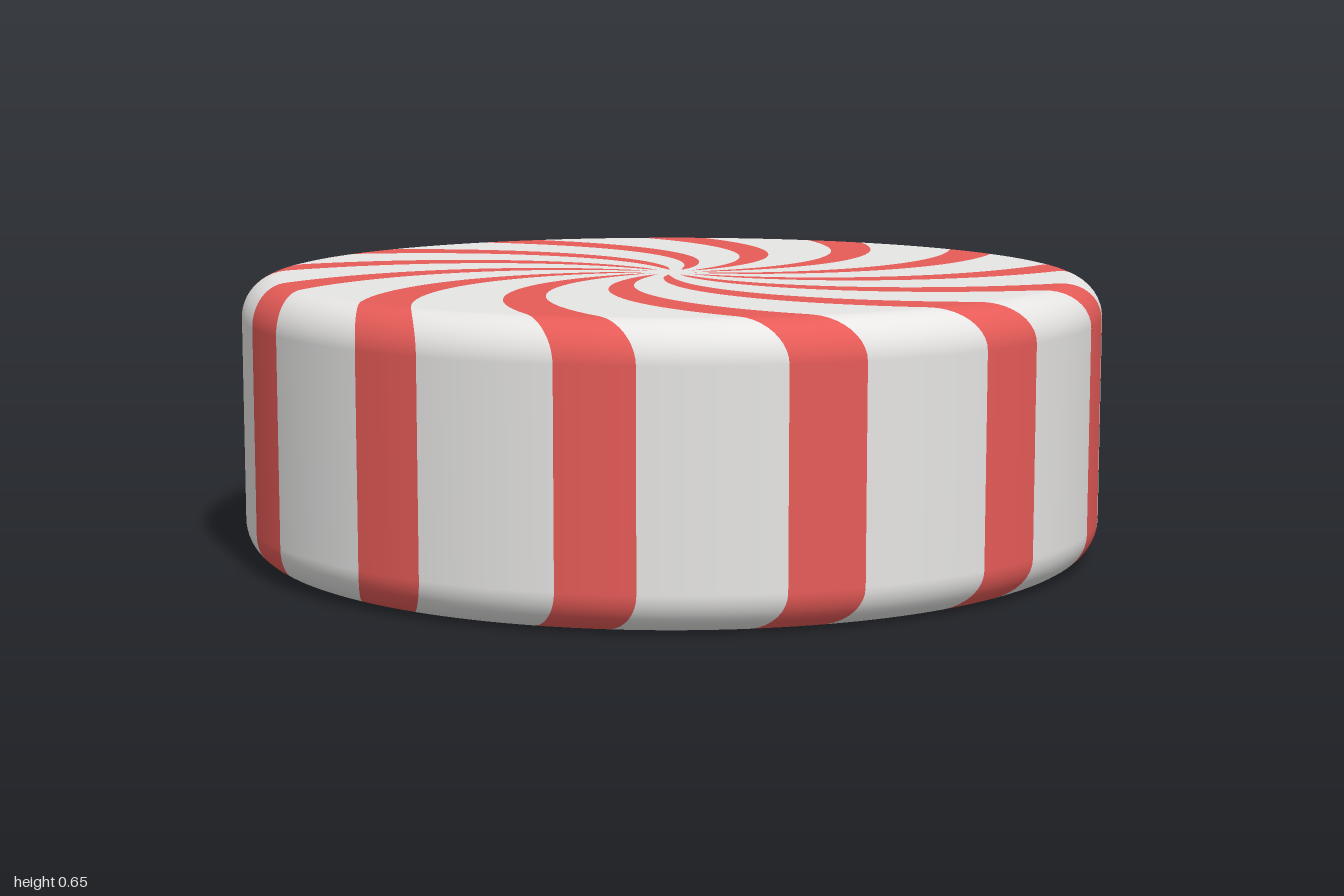
import * as THREE from 'three';

const COUNT = 13;                       // number of swirl stripes
const PITCH = (Math.PI * 2) / COUNT;
const HALF = THREE.MathUtils.degToRad(4.9);   // half stripe angle
const START = THREE.MathUtils.degToRad(84.5); // first stripe at the rim
const HEIGHT = 0.65, CORNER = 0.09, TWIST = 1;

// Profile from top centre, round the rim, to bottom centre: radius, height, normal
function makeProfile() {
  const top = [];
  const flat = 1 - CORNER, hub = 16;
  for (let i = 0; i <= hub; i++) top.push([0.16 * i / hub, HEIGHT, 0, 1]);
  for (let i = 1; i < 20; i++) top.push([0.16 + (flat - 0.16) * i / 20, HEIGHT, 0, 1]);
  for (let i = 0; i <= 10; i++) {
    const a = (i / 10) * Math.PI / 2, s = Math.sin(a), c = Math.cos(a);
    top.push([flat + CORNER * s, HEIGHT - CORNER + CORNER * c, s, c]);
  }
  const bottom = top.map(([r, y, nr, ny]) => [r, HEIGHT - y, nr, -ny]).reverse();
  return [...top, ...bottom];
}

// Stripes taper to nothing near the centre
const halfWidth = (r) => HALF * THREE.MathUtils.smoothstep(r, 0.045, 0.11);

// Curved strip of the sweet between two angles that depend on the radius
function strip(profile, from, to, columns) {
  const pos = [], nor = [], index = [];
  profile.forEach(([r, y, nr, ny], i) => {
    const swirl = START + TWIST * (1 - r);
    for (let j = 0; j <= columns; j++) {
      const a = swirl + THREE.MathUtils.lerp(from(r), to(r), j / columns);
      pos.push(r * Math.cos(a), y, r * Math.sin(a));
      nor.push(nr * Math.cos(a), ny, nr * Math.sin(a));
      if (i < profile.length - 1 && j < columns) {
        const p = i * (columns + 1) + j, q = p + columns + 1;
        index.push(p, p + 1, q, p + 1, q + 1, q);
      }
    }
  });
  const geo = new THREE.BufferGeometry();
  geo.setAttribute('position', new THREE.Float32BufferAttribute(pos, 3));
  geo.setAttribute('normal', new THREE.Float32BufferAttribute(nor, 3));
  geo.setIndex(index);
  return geo;
}

export function createModel() {
  const white = new THREE.MeshStandardMaterial({ color: 0xe7e6e5 });
  white.name = 'sugar white';
  const red = new THREE.MeshStandardMaterial({ color: 0xea5d59 });
  red.name = 'peppermint red';

  const group = new THREE.Group();
  group.name = 'peppermintSweet';

  const profile = makeProfile();
  const redGeo = strip(profile, (r) => -halfWidth(r), halfWidth, 4);
  const whiteGeo = strip(profile, halfWidth, (r) => PITCH - halfWidth(r), 8);

  // Alternate red and white strips all the way round
  for (let k = 0; k < COUNT; k++) {
    for (const [name, geo, mat] of [['redStripe', redGeo, red], ['whiteStripe', whiteGeo, white]]) {
      const mesh = new THREE.Mesh(geo, mat);
      mesh.name = name + (k + 1);
      mesh.rotation.y = -k * PITCH;
      group.add(mesh);
    }
  }
  return group;
}
